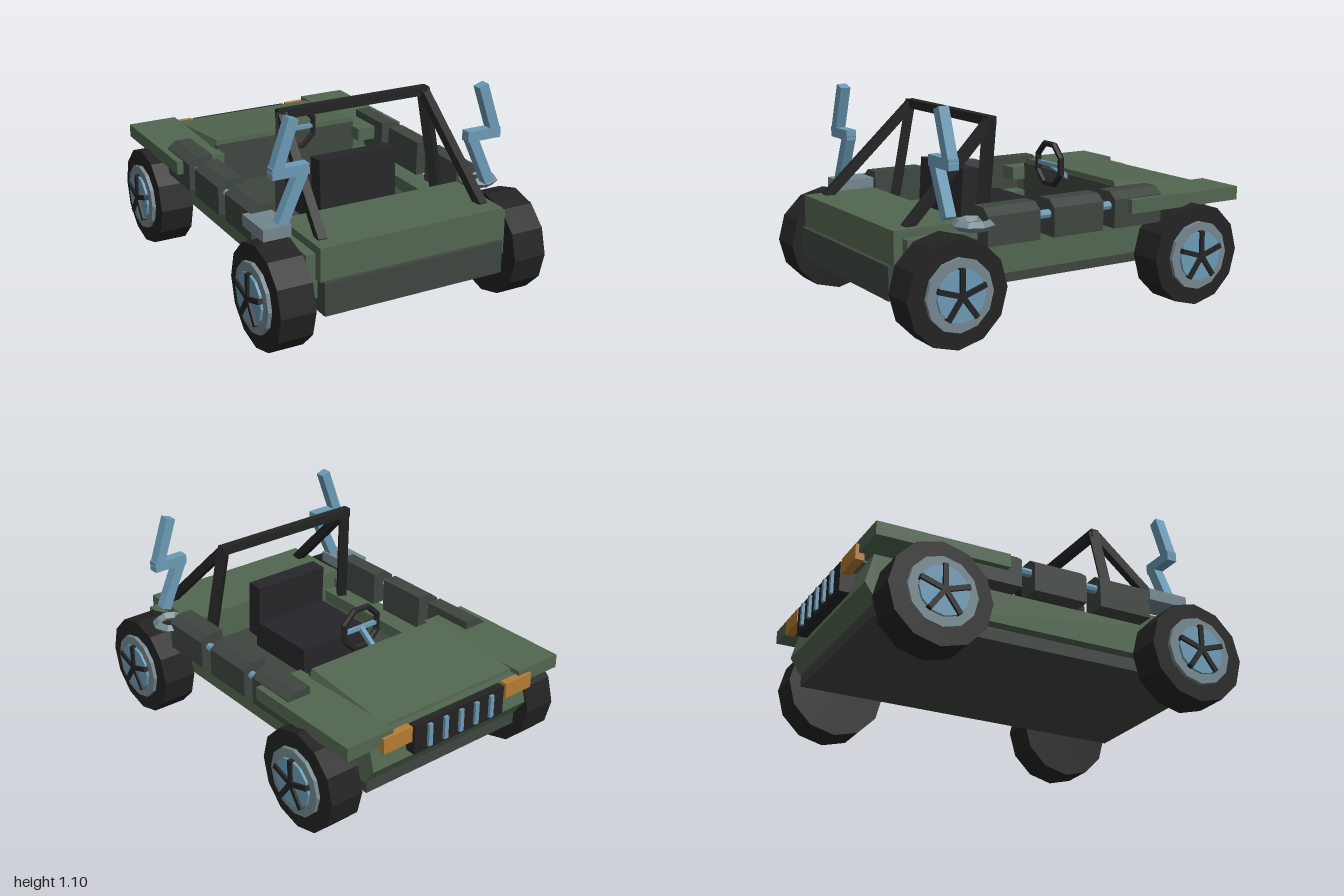
import * as THREE from 'three';
import { ConvexGeometry } from 'three/addons/geometries/ConvexGeometry.js';

const mat = (name, color) => {
  const m = new THREE.MeshStandardMaterial({ color, flatShading: true });
  m.name = name;
  return m;
};

export function createModel() {
  const green = mat('body green', 0x526650);
  const dark = mat('dark green', 0x3e453f);
  const black = mat('black', 0x232323);
  const seatBlack = mat('seat black', 0x262529);
  const grey = mat('rim grey', 0x74878e);
  const blue = mat('steel blue', 0x6b9ab5);
  const amber = mat('amber', 0xb57d33);

  const model = new THREE.Group();
  model.name = 'buggy';

  const add = (name, geo, m, parent = model) => {
    const mesh = new THREE.Mesh(geo, m);
    mesh.name = name;
    parent.add(mesh);
    return mesh;
  };
  // Box given by its limits on each axis
  const box = (name, m, x0, x1, y0, y1, z0, z1, parent) => {
    const mesh = add(name, new THREE.BoxGeometry(Math.abs(x1 - x0), y1 - y0, z1 - z0), m, parent);
    mesh.position.set((x0 + x1) / 2, (y0 + y1) / 2, (z0 + z1) / 2);
    return mesh;
  };
  // Square bar between two points
  const bar = (name, m, a, b, w, d = w, parent = model) => {
    const A = new THREE.Vector3(...a), B = new THREE.Vector3(...b);
    const mesh = add(name, new THREE.BoxGeometry(w, d, A.distanceTo(B)), m, parent);
    mesh.position.copy(A).add(B).multiplyScalar(0.5);
    mesh.lookAt(B);
    return mesh;
  };
  // Outline drawn in (x, y), extruded from z0 to z1
  const extrudeZ = (name, m, pts, z0, z1) => {
    const shape = new THREE.Shape(pts.map(p => new THREE.Vector2(...p)));
    const geo = new THREE.ExtrudeGeometry(shape, { depth: z1 - z0, bevelEnabled: false });
    geo.translate(0, 0, z0);
    return add(name, geo, m);
  };
  const hull = (name, m, pts) =>
    add(name, new ConvexGeometry(pts.map(p => new THREE.Vector3(...p))), m);

  // Chassis; its top is the cockpit floor
  box('chassis', dark, -0.49, 0.49, 0.21, 0.375, -0.88, 0.97);
  box('rearDeck', green, -0.5, 0.5, 0.372, 0.54, 0.55, 0.945);

  // Nose block with a forward-leaning lower edge
  const nose = [];
  for (const x of [-0.5, 0.5])
    for (const [z, y] of [[-0.37, 0.275], [-0.37, 0.51], [-0.9, 0.51], [-0.94, 0.36], [-0.88, 0.275]])
      nose.push([x, y, z]);
  hull('nose', green, nose);
  box('noseTop', green, -0.42, 0.42, 0.5, 0.555, -0.945, -0.37);

  // Sloping hood
  const hood = [];
  for (const s of [-1, 1])
    hood.push([s * 0.41, 0.625, -0.37], [s * 0.41, 0.572, -0.91],
      [s * 0.45, 0.5, -0.37], [s * 0.42, 0.5, -0.915]);
  hull('hood', green, hood);
  box('dashboard', dark, -0.42, 0.42, 0.37, 0.6, -0.375, -0.36);

  // Parts mirrored on both sides
  for (const s of [-1, 1]) {
    box('sideSill', green, s * 0.41, s * 0.55, 0.275, 0.44, -0.6, 0.56);
    box('rearShoulder', green, s * 0.48, s * 0.55, 0.275, 0.5, 0.53, 0.9);
    box('frontFender', green, s * 0.41, s * 0.68, 0.51, 0.58, -0.968, -0.28);
    box('headlight', amber, s * 0.305, s * 0.48, 0.475, 0.555, -0.985, -0.94);

    // Saddle boxes strung on a rail
    for (const z of [-0.345, 0.015, 0.385]) {
      const p = [[0.51, 0.44], [0.645, 0.44], [0.645, 0.585], [0.6, 0.62], [0.515, 0.62]];
      extrudeZ('saddleBox', dark, p.map(([x, y]) => [x * s, y]), z - 0.145, z + 0.145);
    }
    const rail = add('boxRail', new THREE.CylinderGeometry(0.022, 0.022, 0.9, 8), blue);
    rail.rotation.x = Math.PI / 2;
    rail.position.set(s * 0.598, 0.55, 0.02);

    // Roll cage legs and braces
    bar('rollCageLeg', black, [s * 0.455, 0.4, 0.46], [s * 0.4, 1.0, 0.37], 0.05);
    bar('rollCageBrace', black, [s * 0.4, 0.99, 0.37], [s * 0.442, 0.53, 0.85], 0.045);

    // Zigzag exhaust stack
    const path = [[0.518, 1.085], [0.602, 0.84], [0.462, 0.84], [0.575, 0.59]];
    const stack = new THREE.Group();
    stack.name = 'exhaustStack';
    model.add(stack);
    for (let i = 0; i < 3; i++) {
      const [a, b] = [path[i], path[i + 1]];
      const piece = add('stackSegment', new THREE.BoxGeometry(
        0.053, Math.hypot(b[0] - a[0], b[1] - a[1]) + (i === 1 ? 0.05 : 0.012), 0.054), blue, stack);
      piece.position.set(s * (a[0] + b[0]) / 2, (a[1] + b[1]) / 2, 0.7);
      piece.rotation.z = Math.atan2(-s * (a[0] - b[0]), a[1] - b[1]);
    }

    // Wheels: tyre, rim, hub disc and five spokes
    for (const z of [0.74, -0.66]) {
      const wheel = new THREE.Group();
      wheel.name = z > 0 ? 'rearWheel' : 'frontWheel';
      wheel.position.set(0, 0.265, z);
      model.add(wheel);
      const disc = (name, m, r, x0, x1) => {
        const d = add(name, new THREE.CylinderGeometry(r, r, x1 - x0, 12), m, wheel);
        d.rotation.z = Math.PI / 2;
        d.position.x = s * (x0 + x1) / 2;
      };
      disc('tyre', black, 0.262, 0.55, 0.73);
      disc('rim', grey, 0.176, 0.72, 0.75);
      disc('hubDisc', blue, 0.127, 0.74, 0.763);
      for (let i = 0; i < 5; i++) {
        const a = i * Math.PI * 2 / 5;
        const spoke = add('spoke', new THREE.BoxGeometry(0.025, 0.13, 0.025), black, wheel);
        spoke.position.set(s * 0.763, Math.cos(a) * 0.065, Math.sin(a) * 0.065);
        spoke.rotation.x = a;
      }
    }
  }
  box('rollCageTop', black, -0.42, 0.42, 0.968, 1.013, 0.345, 0.39);

  // Mounts under the two stacks: a plate and an open ring
  box('stackPlate', grey, -0.68, -0.535, 0.525, 0.585, 0.51, 0.73);
  const ring = add('stackRing', new THREE.TorusGeometry(0.078, 0.025, 4, 8), grey);
  ring.rotation.x = Math.PI / 2;
  ring.position.set(0.605, 0.55, 0.585);

  // Grille
  box('grille', black, -0.29, 0.29, 0.395, 0.55, -0.985, -0.9);
  for (let i = -2; i <= 2; i++)
    box('grilleBar', blue, i * 0.1 - 0.012, i * 0.1 + 0.012, 0.415, 0.535, -1.0, -0.98);

  // Seat
  box('seatCushion', seatBlack, -0.215, 0.215, 0.37, 0.52, -0.055, 0.36);
  const back = box('seatBack', seatBlack, -0.215, 0.215, 0.43, 0.73, 0.33, 0.42);
  back.rotation.x = -0.06;

  // Steering wheel
  const steering = add('steeringWheel', new THREE.TorusGeometry(0.115, 0.017, 6, 8), black);
  steering.rotation.z = Math.PI / 8;
  steering.position.set(0, 0.665, -0.25);
  bar('steeringSpoke', blue, [-0.105, 0.665, -0.25], [0.105, 0.665, -0.25], 0.02);
  bar('steeringColumn', blue, [0, 0.665, -0.25], [0, 0.58, -0.37], 0.025);

  return model;
}
